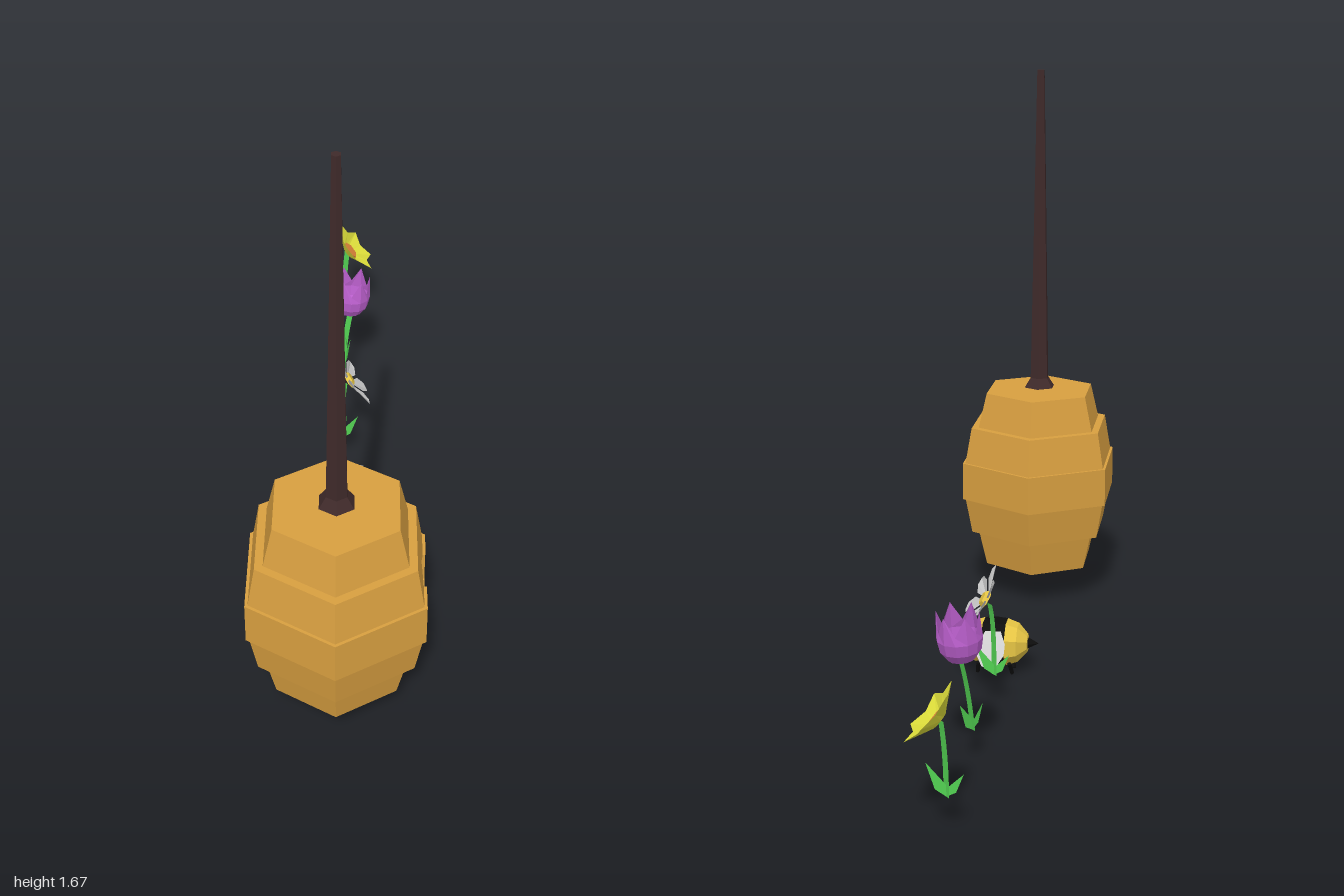
import * as THREE from 'three';

const V = (x, y, z) => new THREE.Vector3(x, y, z);
const mat = (color) => new THREE.MeshStandardMaterial({ color, flatShading: true, side: THREE.DoubleSide });
const gold = mat(0xd89f40), bark = mat(0x3f2a2a), black = mat(0x0e0e0e), yellow = mat(0xe6c544);
const wingGrey = mat(0xc4c4c4), white = mat(0xe6e6e6), green = mat(0x52d052), purple = mat(0xba5fcc);
const lemon = mat(0xdcdc3a), orange = mat(0xe88a3c);

function add(parent, name, geometry, material, pos = V(0, 0, 0)) {
  const mesh = new THREE.Mesh(geometry, material);
  mesh.name = name;
  mesh.position.copy(pos);
  parent.add(mesh);
  return mesh;
}

// Surface from a list of four-cornered faces
function quads(list) {
  const p = [];
  for (const [a, b, c, d] of list) for (const v of [a, b, c, a, c, d]) p.push(v.x, v.y, v.z);
  const g = new THREE.BufferGeometry();
  g.setAttribute('position', new THREE.Float32BufferAttribute(p, 3));
  g.computeVertexNormals();
  return g;
}

// Thin rod between two points
function rod(parent, name, a, b, r, material) {
  const m = add(parent, name, new THREE.CylinderGeometry(r, r, a.distanceTo(b), 5), material, a.clone().lerp(b, 0.5));
  m.quaternion.setFromUnitVectors(V(0, 1, 0), b.clone().sub(a).normalize());
}

function makeHive() {
  const hive = new THREE.Group();
  hive.name = 'hive';
  hive.position.z = 0.74;
  // Stacked tiers: bottom radius, bottom y, top radius, top y
  const tiers = [
    [0.179, 0.105, 0.206, 0.218], [0.229, 0.218, 0.251, 0.33], [0.26, 0.33, 0.26, 0.448],
    [0.251, 0.448, 0.23, 0.56], [0.206, 0.56, 0.179, 0.668],
  ];
  const holeY = 0.387, holeR = 0.093, holeW = holeR * 0.866, back = 0.203;
  const halfHole = (y) => Math.max(0, Math.min(holeW, (holeR - Math.abs(y - holeY)) * Math.sqrt(3)));
  const profile = [[0, 0.105]], fine = [[0, 0.105]];
  for (const [r0, y0, r1, y1] of tiers) {
    profile.push([r0, y0], [r1, y1]);
    // Extra rows where the outline of the entrance turns
    const cuts = [-1, -0.5, 0.5, 1].map((k) => holeY + k * holeR).filter((y) => y > y0 && y < y1);
    for (const y of [y0, ...cuts, y1]) fine.push([r0 + (r1 - r0) * (y - y0) / (y1 - y0), y]);
  }
  profile.push([0, 0.668]);
  fine.push([0, 0.668]);
  const pts = profile.map(([r, y]) => new THREE.Vector2(r, y));
  add(hive, 'hiveWalls', new THREE.LatheGeometry(pts, 5, Math.PI * 2 / 3, Math.PI * 5 / 3), gold);

  // Side with the entrance cut out
  const faces = [];
  for (let i = 0; i < fine.length - 1; i++) {
    const [ra, ya] = fine[i], [rb, yb] = fine[i + 1];
    const xa = ra * 0.866, xb = rb * 0.866, ha = halfHole(ya), hb = halfHole(yb);
    for (const s of [1, -1]) {
      const f = [V(xa, ya, s * ha), V(xb, yb, s * hb), V(xb, yb, s * rb / 2), V(xa, ya, s * ra / 2)];
      faces.push(s > 0 ? f : f.reverse());
      if (ha + hb > 0.001) {
        const w = [V(xa, ya, s * ha), V(back, ya, s * ha), V(back, yb, s * hb), V(xb, yb, s * hb)];
        faces.push(s > 0 ? w : w.reverse());
      }
    }
  }
  add(hive, 'entranceWall', quads(faces), gold);
  const disc = add(hive, 'entrance', new THREE.CircleGeometry(holeR, 6, Math.PI / 2), black, V(back + 0.002, holeY, 0));
  disc.rotation.y = Math.PI / 2;

  // Tapered branch with a flared foot
  const branch = [[0, 0.672], [0.05, 0.676], [0.03, 0.706], [0.012, 1.665], [0, 1.665]];
  add(hive, 'branch', new THREE.LatheGeometry(branch.map(([r, y]) => new THREE.Vector2(r, y)), 6), bark);
  return hive;
}

function makeBee() {
  const bee = new THREE.Group();
  bee.name = 'bee';
  bee.position.set(0.032, 0.09, 0.048);
  // Body rings turned about the x axis
  const band = (name, rings, material) => {
    const g = new THREE.LatheGeometry(rings.map(([r, x]) => new THREE.Vector2(r, x)), 8, Math.PI / 8);
    add(bee, name, g.rotateZ(-Math.PI / 2), material);
  };
  band('abdomen', [[0, -0.095], [0.026, -0.093], [0.056, -0.065], [0.067, -0.032]], yellow);
  band('stripe', [[0.067, -0.032], [0.07, 0], [0.067, 0.034]], black);
  band('head', [[0.067, 0.034], [0.056, 0.066], [0.028, 0.094], [0, 0.096]], yellow);
  add(bee, 'stinger', new THREE.ConeGeometry(0.018, 0.035, 6).rotateZ(Math.PI / 2), black, V(-0.107, 0, 0));
  for (const s of [1, -1]) {
    add(bee, 'eye', new THREE.IcosahedronGeometry(0.021, 1), black, V(0.091, -0.018, s * 0.036));
    // Drooping wing: x half-width along its length
    const rows = [[0.022, 0.05, 0.05], [0.039, 0.085, 0.025], [0.039, 0.11, 0.002], [0.02, 0.134, -0.024]];
    const f = [];
    for (let i = 0; i < 3; i++) {
      const [w, z, y] = rows[i], [w2, z2, y2] = rows[i + 1];
      const q = [V(-w, y, s * z), V(-w2, y2, s * z2), V(w2, y2, s * z2), V(w, y, s * z)];
      f.push(s > 0 ? q : q.reverse());
    }
    add(bee, 'wing', quads(f), wingGrey);
    for (const x of [-0.05, 0, 0.05]) {
      rod(bee, 'leg', V(x * 0.9, -0.05, s * 0.042), V(x, -0.088, s * 0.018), 0.006, black);
    }
  }
  return bee;
}

// Flat stem, bent along three points
function stem(parent, a, b, c) {
  const pts = new THREE.QuadraticBezierCurve3(a, b, c).getPoints(6), w = V(0.008, 0, 0.008), f = [];
  for (let i = 0; i < 6; i++) {
    const p = pts[i], q = pts[i + 1];
    f.push([p.clone().sub(w), p.clone().add(w), q.clone().add(w), q.clone().sub(w)]);
  }
  add(parent, 'stem', quads(f), green);
}

// Pair of pointed leaves at the foot of a stem
function footLeaves(parent, pos, turn) {
  const f = [[0.05, 0.085], [-0.042, 0.06]].map(([x, y]) =>
    [V(0, 0, 0), V(x * 0.55, y * 0.2, 0), V(x, y, 0), V(0, y * 0.35, 0)]);
  add(parent, 'footLeaf', quads(f), green, pos).rotation.y = turn;
}

// Small leaf on a stem, facing the side
function sideLeaf(parent, pos, w, h) {
  const g = new THREE.CircleGeometry(1, 6).scale(w, h, 1).rotateY(Math.PI / 2);
  add(parent, 'sideLeaf', g, green, pos).rotation.y = 0.2;
}

function bloom(parent, pos, facing) {
  const g = new THREE.Group();
  g.name = 'bloom';
  g.position.copy(pos);
  g.quaternion.setFromUnitVectors(V(0, 1, 0), facing.normalize());
  parent.add(g);
  return g;
}

function makeDaisy() {
  const daisy = new THREE.Group();
  daisy.name = 'daisy';
  stem(daisy, V(0, 0.09, -0.19), V(0, 0.24, -0.18), V(0.01, 0.3, -0.2));
  footLeaves(daisy, V(0, 0.09, -0.19), 0);
  sideLeaf(daisy, V(0.01, 0.222, -0.15), 0.034, 0.027);
  const head = bloom(daisy, V(0.018, 0.31, -0.197), V(0.82, 0.5, -0.18));
  for (let i = 0; i < 6; i++) {
    const f = [1, -1].map((s) => {
      const q = [V(0, 0, 0.01), V(s * 0.026, 0.018, 0.055), V(s * 0.016, 0.024, 0.082), V(0, 0.022, 0.096)];
      return s > 0 ? q : q.reverse();
    });
    add(head, 'petal', quads(f), white).rotation.y = i * Math.PI / 3;
  }
  add(head, 'flowerCentre', new THREE.CylinderGeometry(0.018, 0.027, 0.014, 6), yellow, V(0, 0.008, 0));
  return daisy;
}

function makeTulip() {
  const tulip = new THREE.Group();
  tulip.name = 'tulip';
  stem(tulip, V(0, 0.09, -0.54), V(0.005, 0.2, -0.555), V(0.025, 0.295, -0.57));
  footLeaves(tulip, V(0, 0.09, -0.54), Math.PI / 3);
  sideLeaf(tulip, V(0.01, 0.19, -0.55), 0.022, 0.013);
  sideLeaf(tulip, V(0.015, 0.228, -0.575), 0.016, 0.015);
  const head = bloom(tulip, V(0.022, 0.29, -0.568), V(0.06, 1, -0.08));
  // Cup whose rim rises and falls to form six petals
  const rows = [[0, 0], [0.036, 0.008], [0.054, 0.034], [0.06, 0.066], [0.055, 0.1]];
  const cup = new THREE.LatheGeometry(rows.map(([r, y]) => new THREE.Vector2(r, y)), 12);
  const p = cup.attributes.position;
  for (let i = 0; i < p.count; i++) {
    if (i % rows.length === 4) p.setY(i, Math.floor(i / rows.length) % 2 ? 0.138 : 0.088);
  }
  add(head, 'petals', cup, purple);
  return tulip;
}

function makeDaffodil() {
  const daffodil = new THREE.Group();
  daffodil.name = 'daffodil';
  stem(daffodil, V(0, 0.09, -0.905), V(0, 0.2, -0.905), V(0.01, 0.288, -0.915));
  footLeaves(daffodil, V(0, 0.09, -0.905), 0);
  const head = bloom(daffodil, V(0.014, 0.288, -0.915), V(0.76, 0.64, -0.05));
  // Six-pointed funnel
  const rows = [[0, 0], [0.026, 0], [0.09, 0.034]];
  const star = new THREE.LatheGeometry(rows.map(([r, y]) => new THREE.Vector2(r, y)), 12);
  const p = star.attributes.position;
  for (let i = 0; i < p.count; i++) {
    if (i % 3 === 2 && Math.floor(i / 3) % 2) p.setXYZ(i, p.getX(i) * 0.72, 0.026, p.getZ(i) * 0.72);
  }
  add(head, 'petals', star, lemon);
  add(head, 'flowerCentre', new THREE.CylinderGeometry(0.03, 0.024, 0.012, 6), orange, V(0, 0.006, 0));
  return daffodil;
}

export function createModel() {
  const model = new THREE.Group();
  model.name = 'beehiveScene';
  model.add(makeHive(), makeBee(), makeDaisy(), makeTulip(), makeDaffodil());
  return model;
}
